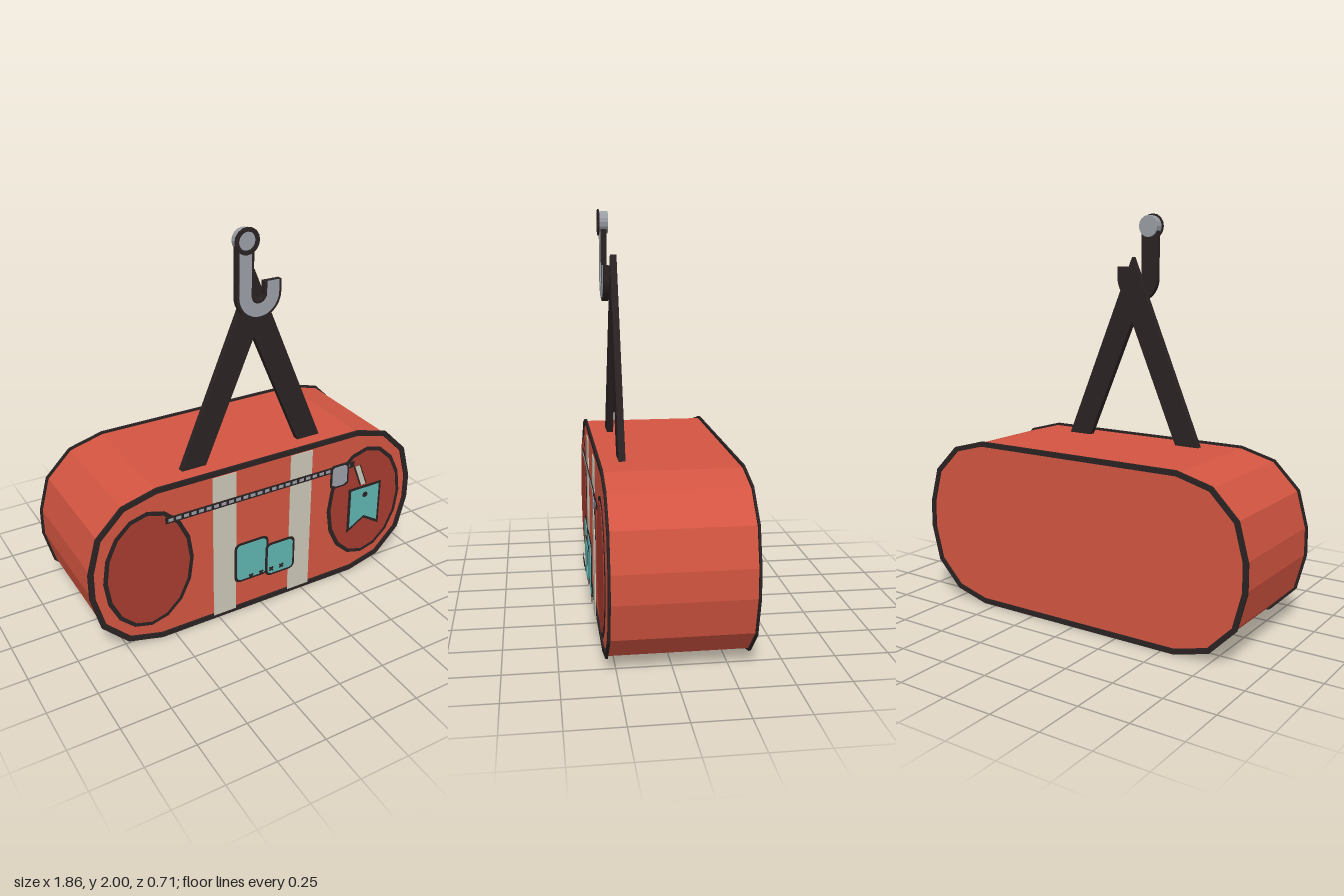
import * as THREE from 'three';

const mat = (name, color, side = THREE.FrontSide) => {
  const m = new THREE.MeshStandardMaterial({ color, side });
  m.name = name;
  return m;
};

export function createModel() {
  const red = mat('red fabric', 0xd35541);
  const darkRed = mat('dark red panel', 0xa63c2f);
  const black = mat('dark trim', 0x2a2222);
  const cream = mat('cream webbing', 0xcbc6b6);
  const teal = mat('teal patch', 0x5fb5b0);
  const grey = mat('grey metal', 0x9a9ea5);

  const model = new THREE.Group();
  model.name = 'duffelBag';

  // Extrudes a shape from z to z + depth
  const plate = (name, shape, z, depth, material) => {
    const geo = new THREE.ExtrudeGeometry(shape, { depth, bevelEnabled: false, curveSegments: 10 });
    const mesh = new THREE.Mesh(geo, material);
    mesh.name = name;
    mesh.position.z = z;
    model.add(mesh);
    return mesh;
  };
  const poly = (pts) => new THREE.Shape(pts.map(([x, y]) => new THREE.Vector2(x, y)));
  const rect = (x0, y0, x1, y1) => poly([[x0, y0], [x1, y0], [x1, y1], [x0, y1]]);

  // Rectangle with faceted round corners
  const roundRect = (x0, y0, x1, y1, r, n = 3) => {
    const pts = [];
    const corners = [[x1 - r, y1 - r], [x0 + r, y1 - r], [x0 + r, y0 + r], [x1 - r, y0 + r]];
    corners.forEach(([cx, cy], q) => {
      for (let i = 0; i <= n; i++) {
        const a = (q + i / n) * Math.PI / 2;
        pts.push([cx + r * Math.cos(a), cy + r * Math.sin(a)]);
      }
    });
    return poly(pts);
  };
  const ellipse = (cx, cy, rx, ry, n) => poly(Array.from({ length: n }, (_, i) => {
    const a = i / n * Math.PI * 2;
    return [cx + rx * Math.cos(a), cy + ry * Math.sin(a)];
  }));
  const ring = (outer, inner) => {
    outer.holes.push(inner);
    return outer;
  };

  // Body and the piping around both ends
  const bodyShape = (d) => roundRect(-0.92 - d, 0.014 - d, 0.92 + d, 0.85 + d, 0.35 + d);
  plate('body', bodyShape(0), -0.35, 0.637, red);
  plate('frontPiping', ring(bodyShape(0.012), bodyShape(-0.016)), 0.284, 0.011, black);
  plate('backPiping', ring(bodyShape(0.012), bodyShape(-0.014)), -0.357, 0.011, black);

  // Oval end panels and vertical webbing
  for (const s of [-1, 1]) {
    const side = s > 0 ? 'left' : 'right';
    plate(side + 'PanelTrim', ellipse(s * 0.628, 0.433, 0.236, 0.325, 16), 0.3, 0.003, black);
    plate(side + 'Panel', ellipse(s * 0.628, 0.433, 0.214, 0.303, 16), 0.303, 0.003, darkRed);
    plate(side + 'Webbing', rect(s * 0.22 - 0.064, 0.03, s * 0.22 + 0.064, 0.835), 0.302, 0.004, cream);
  }

  // Zip with teeth
  plate('zip', rect(-0.54, 0.667, 0.545, 0.701), 0.309, 0.003, black);
  for (let i = 0; i < 26; i++) {
    const x = -0.525 + i * 0.0405;
    plate('zipTooth', rect(x, 0.676, x + 0.026, 0.692), 0.312, 0.002, grey);
  }

  // Zip slider and pull cord
  const slider = (d) => poly([
    [0.405 - d, 0.6 - d], [0.425 - d, 0.588 - d], [0.475 + d, 0.588 - d], [0.495 + d, 0.6 - d],
    [0.495 + d, 0.69 + d], [0.48 + d, 0.7 + d], [0.42 - d, 0.7 + d], [0.405 - d, 0.69 + d],
  ]);
  plate('zipSliderTrim', slider(0.012), 0.315, 0.003, black);
  plate('zipSlider', slider(0), 0.318, 0.003, grey);
  const cord = (w) => poly([[0.6 - w, 0.555], [0.6 + w, 0.555], [0.555 + w, 0.675], [0.555 - w, 0.675]]);
  plate('pullCordTrim', cord(0.022), 0.322, 0.003, black);
  plate('pullCord', cord(0.014), 0.325, 0.003, cream);

  // Swallow-tailed tag
  plate('tagTrim', poly([[0.492, 0.298], [0.595, 0.362], [0.698, 0.298], [0.698, 0.562], [0.492, 0.562]]),
    0.346, 0.003, black);
  plate('tag', poly([[0.507, 0.326], [0.595, 0.379], [0.683, 0.326], [0.683, 0.548], [0.507, 0.548]]),
    0.349, 0.003, teal);
  plate('tagHole', ellipse(0.595, 0.508, 0.016, 0.016, 10), 0.352, 0.002, black);

  // Two overlapping patches
  const patch = (name, x0, y0, x1, y1, z) => {
    const t = 0.013;
    plate(name + 'Trim', roundRect(x0, y0, x1, y1, 0.03), z, 0.003, black);
    plate(name, roundRect(x0 + t, y0 + t, x1 - t, y1 - t, 0.02), z + 0.003, 0.003, teal);
  };
  patch('largePatch', -0.175, 0.2, 0.02, 0.432, 0.322);
  patch('smallPatch', 0, 0.185, 0.174, 0.382, 0.33);

  // Cross stitches
  for (const x of [-0.09, -0.03, 0.03, 0.09]) {
    for (const s of [-1, 1]) {
      const stitch = plate('stitch', rect(-0.015, -0.0045, 0.015, 0.0045), 0.34, 0.003, black);
      stitch.position.set(x, 0.23, 0.34);
      stitch.rotation.z = s * Math.PI / 4;
    }
  }

  // A-shaped carrying strap
  plate('carryStrap', poly([
    [-0.4, 0.83], [-0.27, 0.83], [0, 1.46], [0.27, 0.83], [0.4, 0.83], [0, 1.785],
  ]), 0.165, 0.032, black);

  // Hook: dark body with a metal face
  const hook = (w) => {
    const cy = 1.678, r = 0.073, top = 1.92, tip = 1.735;
    const s = new THREE.Shape();
    s.moveTo(-r - w, top);
    s.lineTo(-r - w, cy);
    s.absarc(0, cy, r + w, Math.PI, Math.PI * 2, false);
    s.lineTo(r + w, tip);
    s.lineTo(r - w, tip);
    s.lineTo(r - w, cy);
    s.absarc(0, cy, r - w, Math.PI * 2, Math.PI, true);
    s.lineTo(w - r, top);
    return s;
  };
  plate('hookBody', hook(0.045), 0.21, 0.028, black);
  plate('hookFace', hook(0.031), 0.238, 0.004, grey);

  // Pivot at the top of the hook
  plate('pivot', ellipse(-0.07, 1.937, 0.054, 0.054, 16), 0.202, 0.043, grey);
  plate('pivotTrim', ring(ellipse(-0.07, 1.937, 0.063, 0.063, 16), ellipse(-0.07, 1.937, 0.043, 0.043, 16)),
    0.244, 0.007, black);

  return model;
}
